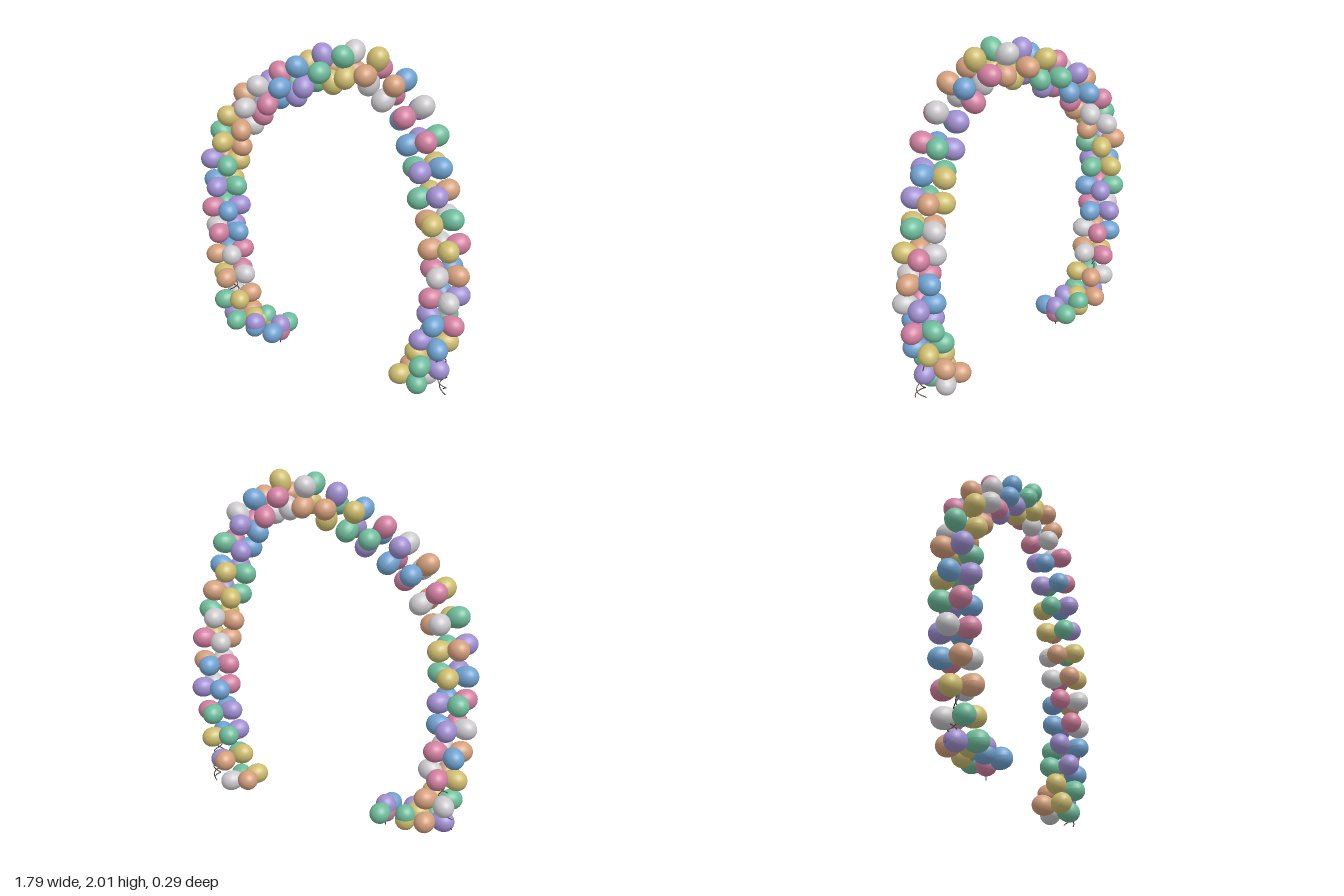
import * as THREE from 'three';

const mat = (name, color) => {
  const m = new THREE.MeshStandardMaterial({ color });
  m.name = name;
  return m;
};

// Balloon colours in the order they spiral around the arch
const COLOURS = [
  mat('yellow', 0xcdbc6f), mat('green', 0x6fbc9c), mat('purple', 0xa08fd0), mat('blue', 0x70a2d0),
  mat('pink', 0xd07f9f), mat('white', 0xcbc9cc), mat('orange', 0xd39f7c),
];
const STRING = mat('string brown', 0x4a3a36);

// Cluster centres along the arch: x, y, angle of the outward direction in degrees
const CLUSTERS = [
  [0.57, 0.11, -12], [0.655, 0.23, -22], [0.695, 0.373, -15], [0.73, 0.517, -9],
  [0.75, 0.67, 0], [0.745, 0.82, 0], [0.735, 0.973, 8], [0.70, 1.12, 16],
  [0.657, 1.263, 17], [0.615, 1.405, 12], [0.58, 1.552, 20], [0.512, 1.69, 37],
  [0.40, 1.793, 55], [0.27, 1.87, 70], [0.122, 1.882, 98], [-0.02, 1.83, 113],
  [-0.162, 1.773, 112], [-0.285, 1.692, 134], [-0.42, 1.615, 125], [-0.53, 1.523, 142],
  [-0.625, 1.403, 142], [-0.70, 1.275, 158], [-0.748, 1.13, 169], [-0.755, 0.978, 179],
  [-0.755, 0.825, 180], [-0.755, 0.675, 180], [-0.74, 0.525, 191], [-0.712, 0.38, 192],
  [-0.69, 0.228, 194], [-0.643, 0.108, 188], [-0.518, 0.105, 270], [-0.37, 0.105, 270],
];

// Egg-shaped balloon, long axis y, slightly fuller at the outer end
function balloonGeometry() {
  const g = new THREE.SphereGeometry(1, 28, 20);
  const p = g.attributes.position;
  for (let i = 0; i < p.count; i++) {
    const y = p.getY(i), r = 0.059 * (1 + 0.08 * y);
    p.setXYZ(i, p.getX(i) * r, y * 0.071, p.getZ(i) * r);
  }
  g.computeVertexNormals();
  return g;
}

// Thin curly string hanging from a to b
function curlyString(a, b, phase) {
  const pts = [];
  for (let i = 0; i <= 24; i++) {
    const t = i / 24, w = 0.022 * Math.min(1, t * 3);
    pts.push(new THREE.Vector3().lerpVectors(a, b, t).add(
      new THREE.Vector3(Math.cos(t * 19 + phase) * w, 0, Math.sin(t * 15 + phase) * w * 1.2)));
  }
  const mesh = new THREE.Mesh(
    new THREE.TubeGeometry(new THREE.CatmullRomCurve3(pts), 72, 0.003, 5), STRING);
  mesh.name = 'curlyString';
  return mesh;
}

export function createModel() {
  const model = new THREE.Group();
  model.name = 'balloonArch';
  const egg = balloonGeometry();
  const up = new THREE.Vector3(0, 1, 0);

  // Four balloons per cluster, every other cluster turned by 45 degrees
  CLUSTERS.forEach(([x, y, deg], k) => {
    const cluster = new THREE.Group();
    cluster.name = 'balloonCluster' + (k + 1);
    cluster.position.set(x, y, 0);
    const a = THREE.MathUtils.degToRad(deg);
    const flat = k >= 30 ? 0.15 : 1; // the last clusters are pressed together on the floor
    for (let i = 0; i < 4; i++) {
      const t = -Math.PI / 2 * i - (k % 2 ? Math.PI / 2 : Math.PI / 4);
      const dir = new THREE.Vector3(Math.cos(a) * Math.cos(t), Math.sin(a) * Math.cos(t), Math.sin(t));
      const balloon = new THREE.Mesh(egg, COLOURS[(5 + k + i) % 7]);
      balloon.name = 'balloon';
      balloon.quaternion.setFromUnitVectors(up, dir);
      balloon.position.copy(dir).multiplyScalar(0.075);
      balloon.position.y *= flat;
      cluster.add(balloon);
    }
    model.add(cluster);
  });

  // Loose strings at both feet
  const v = (x, y, z) => new THREE.Vector3(x, y, z);
  for (const phase of [0, 2.4]) {
    model.add(curlyString(v(-0.70, 0.36, 0), v(-0.77, 0.07, 0), phase));
    model.add(curlyString(v(0.73, 0.35, 0), v(0.77, 0.06, 0), phase));
  }

  // Straight string end under the last cluster
  const end = new THREE.Mesh(new THREE.CylinderGeometry(0.003, 0.003, 0.1, 6), STRING);
  end.name = 'stringEnd';
  end.position.set(-0.37, 0.05, 0);
  model.add(end);
  return model;
}
